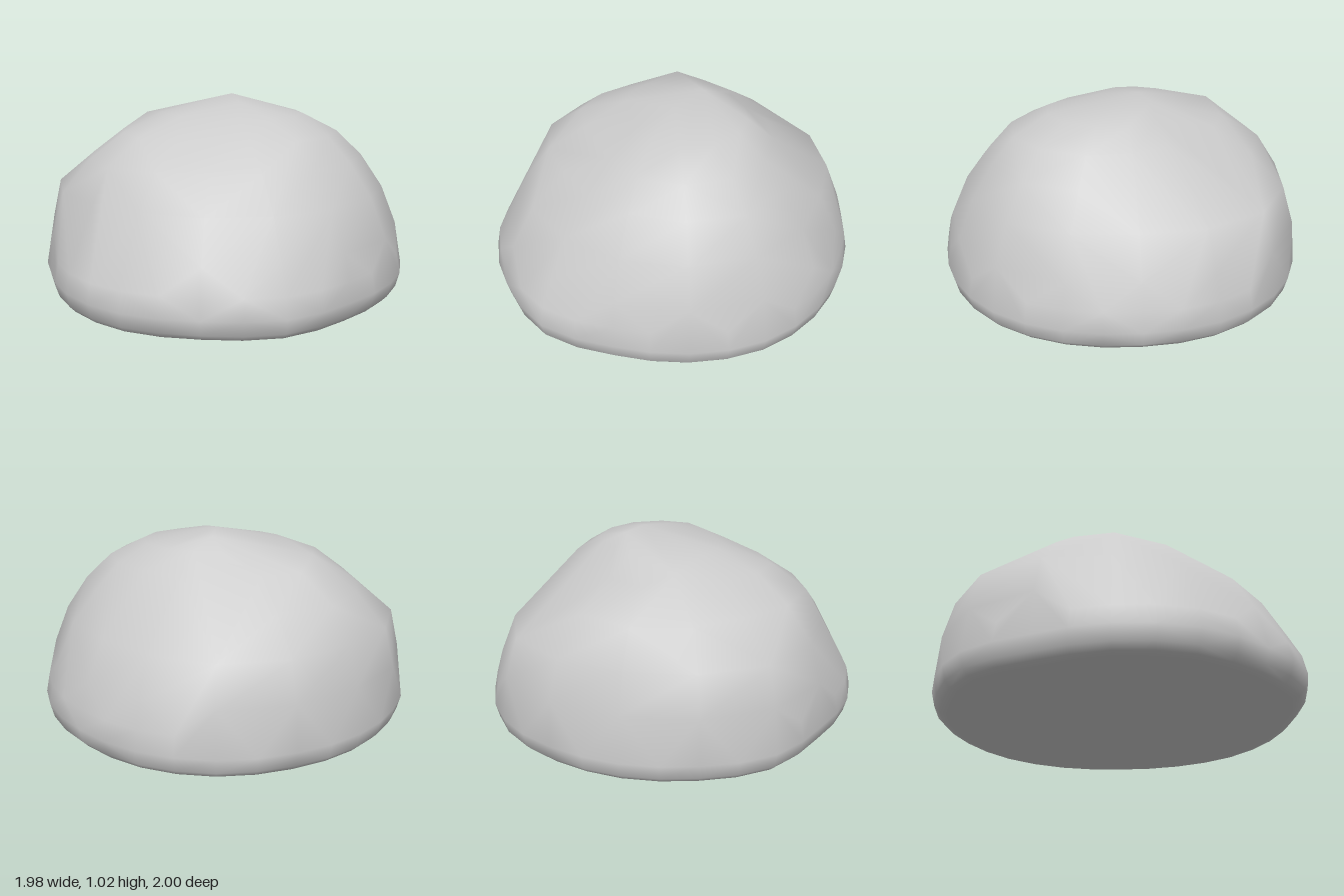
import * as THREE from 'three';
import { mergeVertices } from 'three/addons/utils/BufferGeometryUtils.js';
import { ConvexGeometry } from 'three/addons/geometries/ConvexGeometry.js';

const AROUND = 32;

// Widest outline of the boulder, every 22.5 degrees from +x towards +z
const OUTLINE = [0.99, 0.975, 0.97, 1.02, 1.0, 1.01, 0.985, 0.95, 0.99, 0.97, 0.97, 0.975, 0.995, 0.99, 0.97, 0.98];
const scaled = (s) => OUTLINE.map((r) => r * s);

// Contours from the ground up: height and radii at equal steps around
const RINGS = [
  [0.005, scaled(0.91)],
  [0.015, scaled(0.95)],
  [0.045, scaled(0.98)],
  [0.12, scaled(1.0)],
  [0.22, scaled(0.98)],
  [0.35, [0.95, 0.92, 0.94, 0.89, 0.96, 0.94, 0.965, 0.905]],
  [0.55, [0.87, 0.83, 0.82, 0.82, 0.915, 0.88, 0.9, 0.81]],
  [0.72, [0.755, 0.7, 0.63, 0.73, 0.71, 0.77, 0.65, 0.65]],
  [0.85, [0.62, 0.58, 0.43, 0.54, 0.54, 0.56, 0.47, 0.54]],
  [0.94, [0.44, 0.38, 0.22, 0.28, 0.33, 0.35, 0.34, 0.4]],
];

// Peak, the bumps beside it and the shoulder on the right
const CREST = [[0.04, 1.03, -0.15], [0.1, 1.0, 0.05], [0.05, 1.0, -0.25], [-0.46, 0.91, -0.25]];

// Smooth periodic lookup, t in 0..1
function sample(radii, t) {
  const n = radii.length, f = t * n, i = Math.floor(f), u = f - i;
  const [a, b, c, d] = [-1, 0, 1, 2].map((k) => radii[(i + k + n) % n]);
  return b + 0.5 * u * (c - a + u * (2 * a - 5 * b + 4 * c - d + u * (3 * (b - c) + d - a)));
}

// Stone worn to a convex hull around its contours, shaded smooth
function boulderGeometry() {
  const points = CREST.map((p) => new THREE.Vector3(...p));
  for (const [y, radii] of RINGS) {
    // one point per listed radius higher up gives broad worn facets
    const count = y > 0.3 ? AROUND / 2 : AROUND;
    for (let i = 0; i < count; i++) {
      const t = i / count, a = t * Math.PI * 2, r = sample(radii, t);
      points.push(new THREE.Vector3(r * Math.cos(a), y, r * Math.sin(a)));
    }
  }
  const hull = new ConvexGeometry(points);
  hull.deleteAttribute('normal');
  const geometry = mergeVertices(hull);
  geometry.computeVertexNormals();
  return geometry;
}

export function createModel() {
  const group = new THREE.Group();
  group.name = 'boulder';
  const stone = new THREE.Mesh(boulderGeometry(), new THREE.MeshStandardMaterial({ color: 0xcccccc }));
  stone.name = 'stone';
  group.add(stone);
  return group;
}
